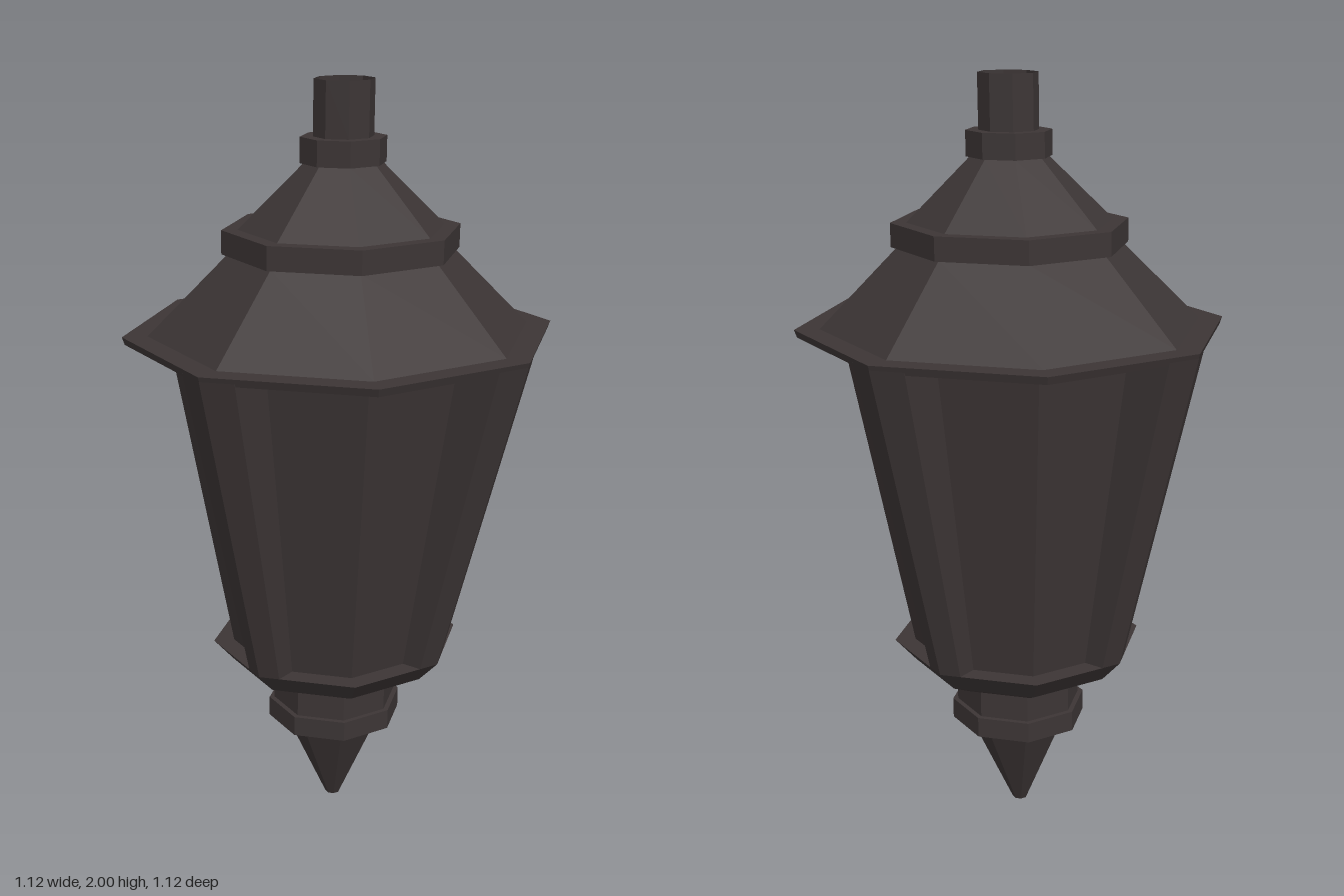
import * as THREE from 'three';

const SIDES = 8, TWIST = -0.04;

// Facet the surface and let it lean very slightly sideways with height
function finish(geo) {
  const g = geo.index ? geo.toNonIndexed() : geo;
  const p = g.attributes.position;
  for (let i = 0; i < p.count; i++) p.setX(i, p.getX(i) + 0.02 * (p.getY(i) - 1.3));
  g.computeVertexNormals();
  return g;
}

// Octagonal shell from [radius, height] pairs, bottom to top
function shell(profile) {
  const pts = profile.map(([r, y]) => new THREE.Vector2(r, y));
  return finish(new THREE.LatheGeometry(pts, SIDES, TWIST, Math.PI * 2));
}

// Slanted corner post whose outer face bends around an octagon corner
function post(angle) {
  const bend = Math.tan(Math.PI / 8);
  const loop = (y, r, inner, a) =>
    [[inner, -a], [r - a * bend, -a], [r, 0], [r - a * bend, a], [inner, a]].map(([d, t]) => [
      d * Math.sin(angle) + t * Math.cos(angle), y,
      d * Math.cos(angle) - t * Math.sin(angle)]);
  const lo = loop(0.5, 0.335, 0.24, 0.05), hi = loop(1.355, 0.557, 0.39, 0.08);
  const v = [];
  for (let i = 0; i < 5; i++) {
    const j = (i + 1) % 5;
    v.push(...lo[i], ...lo[j], ...hi[j], ...lo[i], ...hi[j], ...hi[i]);
  }
  const g = new THREE.BufferGeometry();
  g.setAttribute('position', new THREE.Float32BufferAttribute(v, 3));
  return finish(g);
}

export function createModel() {
  const group = new THREE.Group();
  const iron = new THREE.MeshStandardMaterial({ color: 0x3c3535, side: THREE.DoubleSide });
  iron.name = 'darkIron';
  const add = (name, geo) => {
    const m = new THREE.Mesh(geo, iron);
    m.name = name;
    group.add(m);
  };

  // Pointed finial with a flat tip
  add('finial', shell([[0, 0], [0.02, 0], [0.138, 0.26]]));
  // Collar and neck under the bowl
  add('collar', shell([[0.138, 0.26], [0.182, 0.26], [0.182, 0.315], [0.168, 0.315]]));
  add('neck', shell([[0.168, 0.315], [0.168, 0.4]]));
  // Bowl with a ledge below the panes
  add('bowl', shell([[0.168, 0.4], [0.215, 0.407], [0.28, 0.44], [0.335, 0.5], [0.27, 0.5]]));
  // Recessed panes
  add('panes', shell([[0.28, 0.5], [0.44, 1.35]]));
  // Four corner posts
  for (let i = 0; i < 4; i++) add('cornerPost', post(TWIST + i * Math.PI / 2));
  // Brim and roof tiers
  add('brim', shell([[0.43, 1.347], [0.553, 1.347], [0.56, 1.367], [0.495, 1.367]]));
  add('lowerRoof', shell([[0.495, 1.367], [0.29, 1.572]]));
  add('roofBand', shell([[0.29, 1.572], [0.306, 1.572], [0.306, 1.633], [0.265, 1.633]]));
  add('upperRoof', shell([[0.265, 1.633], [0.1, 1.795]]));
  // Top collar and open pipe
  add('topCollar', shell([[0.1, 1.795], [0.11, 1.795], [0.11, 1.86], [0.077, 1.86]]));
  add('pipe', shell([[0.077, 1.86], [0.077, 2]]));
  return group;
}
